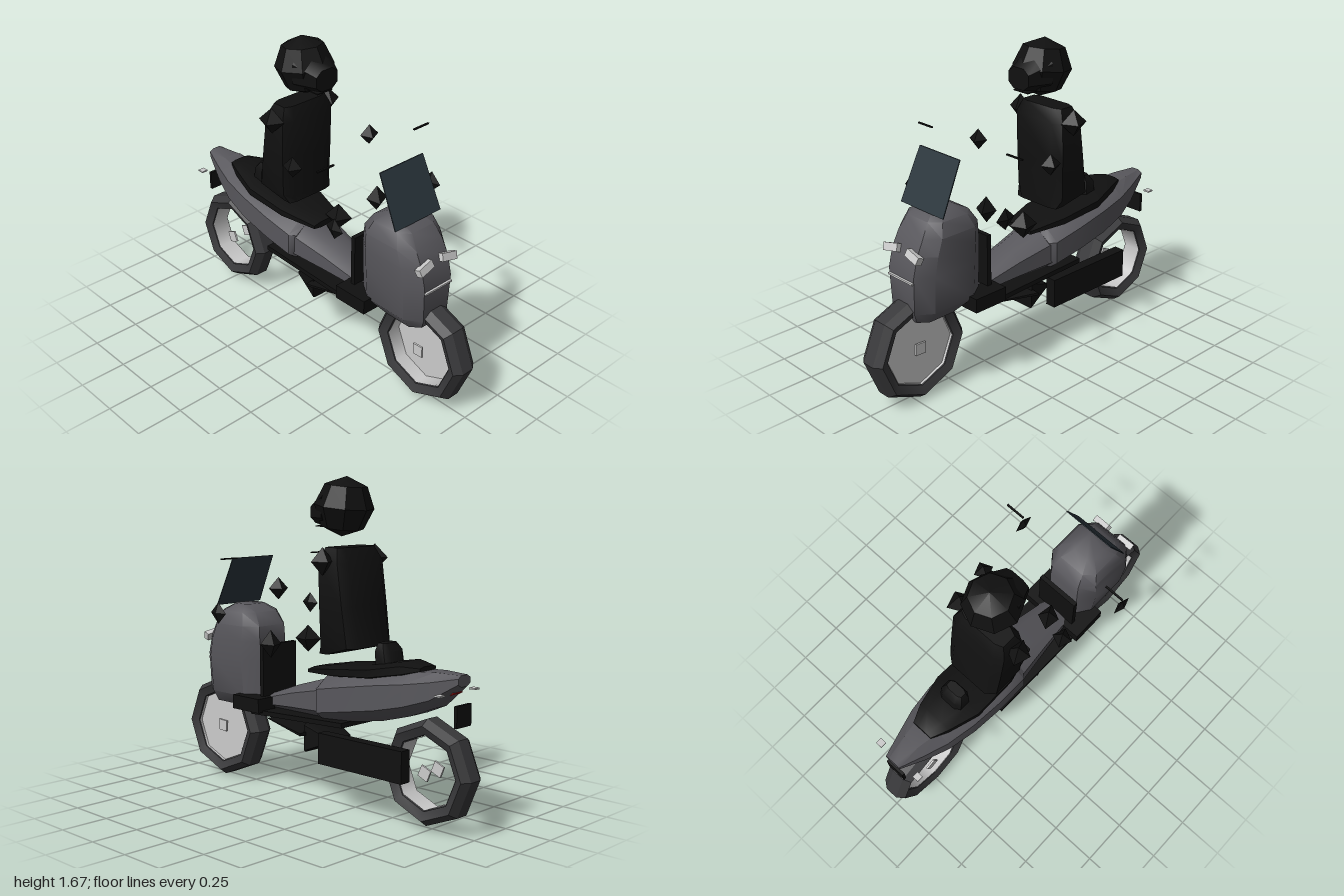
import * as THREE from 'three';
import { toCreasedNormals } from 'three/addons/utils/BufferGeometryUtils.js';

const mat = (color) => new THREE.MeshStandardMaterial({ color, side: THREE.DoubleSide });
const BODY = mat(0x58575c), BLACK = mat(0x101010), TYRE = mat(0x38383a);
const GLASS = mat(0x2b363d), LIGHT = mat(0xcccccc), RED = mat(0xaa1515);

// Skin a row of equal-sized rings, cap both ends and face the triangles outward
function loft(rings, crease = 0.7) {
  const n = rings[0].length, pts = rings.flat(), tris = [];
  for (let r = 0; r < rings.length - 1; r++)
    for (let i = 0; i < n; i++) {
      const a = r * n + i, b = r * n + (i + 1) % n;
      tris.push([a, b, b + n], [a, b + n, a + n]);
    }
  const last = (rings.length - 1) * n;
  for (let i = 1; i < n - 1; i++) tris.push([0, i + 1, i], [last, last + i, last + i + 1]);
  const v = pts.map((p) => new THREE.Vector3(...p));
  const centre = v.reduce((s, p) => s.add(p), new THREE.Vector3()).divideScalar(v.length);
  v.forEach((p) => p.sub(centre));
  const volume = tris.reduce((s, [a, b, c]) => s + v[a].dot(v[b].clone().cross(v[c])), 0);
  if (volume < 0) tris.forEach((t) => t.reverse());
  const g = new THREE.BufferGeometry();
  g.setAttribute('position', new THREE.Float32BufferAttribute(pts.flat(), 3));
  g.setIndex(tris.flat());
  return toCreasedNormals(g, crease);
}

// Chamfered rectangle outline, as unit coordinates from -1 to 1
const outline = (k) => [[1, -k], [1, k], [k, 1], [-k, 1], [-1, k], [-1, -k], [-k, -1], [k, -1]];
// Cross-sections along x: [x, bottom, top, half width]
const alongX = (rows, k = 0.5) => loft(rows.map(([x, y0, y1, w]) =>
  outline(k).map(([u, v]) => [x, (y0 + y1) / 2 + v * (y1 - y0) / 2, u * w])));
// Cross-sections along y: [y, back x, front x, half width]
const alongY = (rows, k = 0.6) => loft(rows.map(([y, x0, x1, w]) =>
  outline(k).map(([u, v]) => [(x0 + x1) / 2 + u * (x1 - x0) / 2, y, v * w])));

export function createModel() {
  const root = new THREE.Group();
  const add = (name, geo, material, x = 0, y = 0, z = 0, parent = root) => {
    const m = new THREE.Mesh(geo, material);
    m.name = name;
    m.position.set(x, y, z);
    parent.add(m);
    return m;
  };
  const box = (name, material, x0, x1, y0, y1, z0, z1) =>
    add(name, new THREE.BoxGeometry(x1 - x0, y1 - y0, z1 - z0), material,
      (x0 + x1) / 2, (y0 + y1) / 2, (z0 + z1) / 2);

  // Wheels: octagonal tyre, pale rim band and hub plates
  function wheel(name, x, r, hasDisc) {
    const g = new THREE.Group();
    g.name = name;
    g.position.set(x, 0.285, 0);
    root.add(g);
    const profile = [[r - 0.075, -0.055], [r - 0.03, -0.075], [r, -0.035], [r, 0.035],
      [r - 0.03, 0.075], [r - 0.075, 0.055], [r - 0.075, -0.055]].map((p) => new THREE.Vector2(...p));
    const tyre = toCreasedNormals(new THREE.LatheGeometry(profile, 8).rotateX(Math.PI / 2), 0.5);
    add('tyre', tyre, TYRE, 0, 0, 0, g);
    const rim = new THREE.CylinderGeometry(r - 0.08, r - 0.08, 0.1, 8, 1, true).rotateX(Math.PI / 2);
    add('rim', rim, LIGHT, 0, 0, 0, g);
    for (const s of [-1, 1]) {
      const hub = add('hubPlate', new THREE.BoxGeometry(0.06, 0.06, 0.01), LIGHT, 0, 0, s * 0.05, g);
      hub.rotation.z = hasDisc ? 0.05 : 0.4;
    }
    if (hasDisc) {
      const disc = new THREE.CylinderGeometry(r - 0.08, r - 0.08, 0.015, 8).rotateX(Math.PI / 2);
      add('wheelDisc', disc, LIGHT, 0, 0, -0.03, g);
    }
  }
  wheel('rearWheel', -0.74, 0.262, false);
  wheel('frontWheel', 0.715, 0.282, true);

  // Bodywork
  add('frontFairing', alongY([[0.44, 0.5, 0.74, 0.1], [0.5, 0.36, 0.77, 0.14], [0.7, 0.36, 0.775, 0.155],
    [0.8, 0.36, 0.75, 0.155], [0.88, 0.365, 0.71, 0.15], [0.95, 0.41, 0.665, 0.125],
    [0.988, 0.48, 0.6, 0.07]]), BODY);
  add('rearBody', alongX([[-0.925, 0.72, 0.775, 0.045], [-0.79, 0.605, 0.775, 0.09], [-0.66, 0.55, 0.765, 0.13],
    [-0.5, 0.505, 0.75, 0.155], [-0.3, 0.47, 0.715, 0.165], [-0.125, 0.44, 0.68, 0.16],
    [-0.095, 0.48, 0.66, 0.13]]), BODY);
  add('centrePanel', alongX([[-0.12, 0.45, 0.665, 0.14], [0.1, 0.45, 0.6, 0.11], [0.34, 0.45, 0.515, 0.08]]), BODY);
  add('seat', alongX([[-0.71, 0.765, 0.79, 0.06], [-0.62, 0.73, 0.808, 0.1], [-0.45, 0.7, 0.775, 0.145],
    [-0.2, 0.68, 0.745, 0.14], [0, 0.675, 0.708, 0.09]]), BLACK);
  add('seatPad', alongY([[0.75, -0.53, -0.42, 0.07], [0.84, -0.51, -0.42, 0.07], [0.877, -0.48, -0.43, 0.05]]), BLACK);
  const floor = box('floorboard', BLACK, -0.3, 0.36, 0.435, 0.46, -0.16, 0.16);
  floor.rotation.z = -0.04;
  box('legShield', BLACK, 0.305, 0.33, 0.46, 0.79, -0.12, 0.12);

  // Windscreen
  const screen = add('windscreen', loft([[1.24, 0.51, 0.145], [0.98, 0.63, 0.155]].map(([y, x, w]) =>
    [[x, y, -w], [x + 0.006, y, -w], [x + 0.006, y, w], [x, y, w]]), 0.3), GLASS);
  screen.position.z = 0.003;

  // Engine case, air duct and lower plate
  box('engineCase', BLACK, -0.675, -0.125, 0.235, 0.395, -0.145, -0.085);
  add('airDuct', alongX([[-0.14, 0.335, 0.35, 0.08], [0.01, 0.265, 0.415, 0.11]], 0.9), BLACK);
  add('lowerPlate', alongX([[0, 0.355, 0.372, 0.15], [0.37, 0.372, 0.376, 0.03]], 0.8), BLACK);

  // Lights and number plate
  for (const s of [-1, 1]) {
    const lamp = add('headlight', new THREE.BoxGeometry(0.035, 0.04, 0.095), LIGHT, 0.757, 0.803, s * 0.08);
    lamp.rotation.set(s * 0.2, s * 0.1, 0.35);
    box('rearIndicator', LIGHT, -0.903, -0.868, 0.685, 0.693, s * 0.13 - 0.018, s * 0.13 + 0.018);
  }
  box('frontTrim', LIGHT, 0.755, 0.786, 0.665, 0.675, -0.09, 0.09);
  const tail = box('tailLight', RED, -0.89, -0.85, 0.675, 0.69, -0.035, 0.035);
  tail.rotation.z = -0.5;
  box('numberPlate', BLACK, -0.928, -0.912, 0.53, 0.635, -0.055, 0.055);

  // Rider: torso, helmet and joint pads
  add('torso', alongY([[0.8, -0.19, -0.12, 0.14], [0.845, -0.37, -0.12, 0.16], [1.05, -0.335, -0.12, 0.165],
    [1.26, -0.3, -0.12, 0.165], [1.33, -0.26, -0.15, 0.135]], 0.7), BLACK);
  const helmet = add('helmet', toCreasedNormals(new THREE.SphereGeometry(0.15, 8, 4), 0.4), BLACK, -0.165, 1.525, 0);
  helmet.rotation.z = 0.12;
  add('visor', alongX([[-0.12, 1.42, 1.62, 0.12], [0, 1.44, 1.55, 0.07]]), BLACK);
  add('chinGuard', new THREE.BoxGeometry(0.09, 0.006, 0.1), BLACK, -0.06, 1.425, 0);

  const pad = (name, x, y, z, rx, ry, rz) => {
    const m = add(name, new THREE.OctahedronGeometry(1).toNonIndexed(), BLACK, x, y, z);
    m.scale.set(rx, ry, rz);
    return m;
  };
  for (const s of [-1, 1]) {
    pad('shoulder', -0.2, 1.265, s * 0.19, 0.07, 0.07, 0.06).rotation.y = s * 0.4;
    pad('elbow', 0.035, 1.123, s * 0.262, 0.052, 0.056, 0.05).rotation.y = s * 0.4;
    pad('hand', 0.41, 0.972, s * 0.335, 0.058, 0.056, 0.02);
    box('foot', BLACK, 0.27, 0.47, 0.44, 0.515, s * 0.13 - 0.06, s * 0.13 + 0.06);
    box('mirror', BLACK, 0.33, 0.34, 1.253, 1.26, s * 0.322 - 0.053, s * 0.322 + 0.053);
  }
  pad('rightKnee', 0.16, 0.823, -0.2, 0.07, 0.072, 0.055).rotation.y = -0.5;
  pad('leftKnee', 0.16, 0.823, 0.07, 0.07, 0.072, 0.055).rotation.y = 0.5;

  return root;
}
